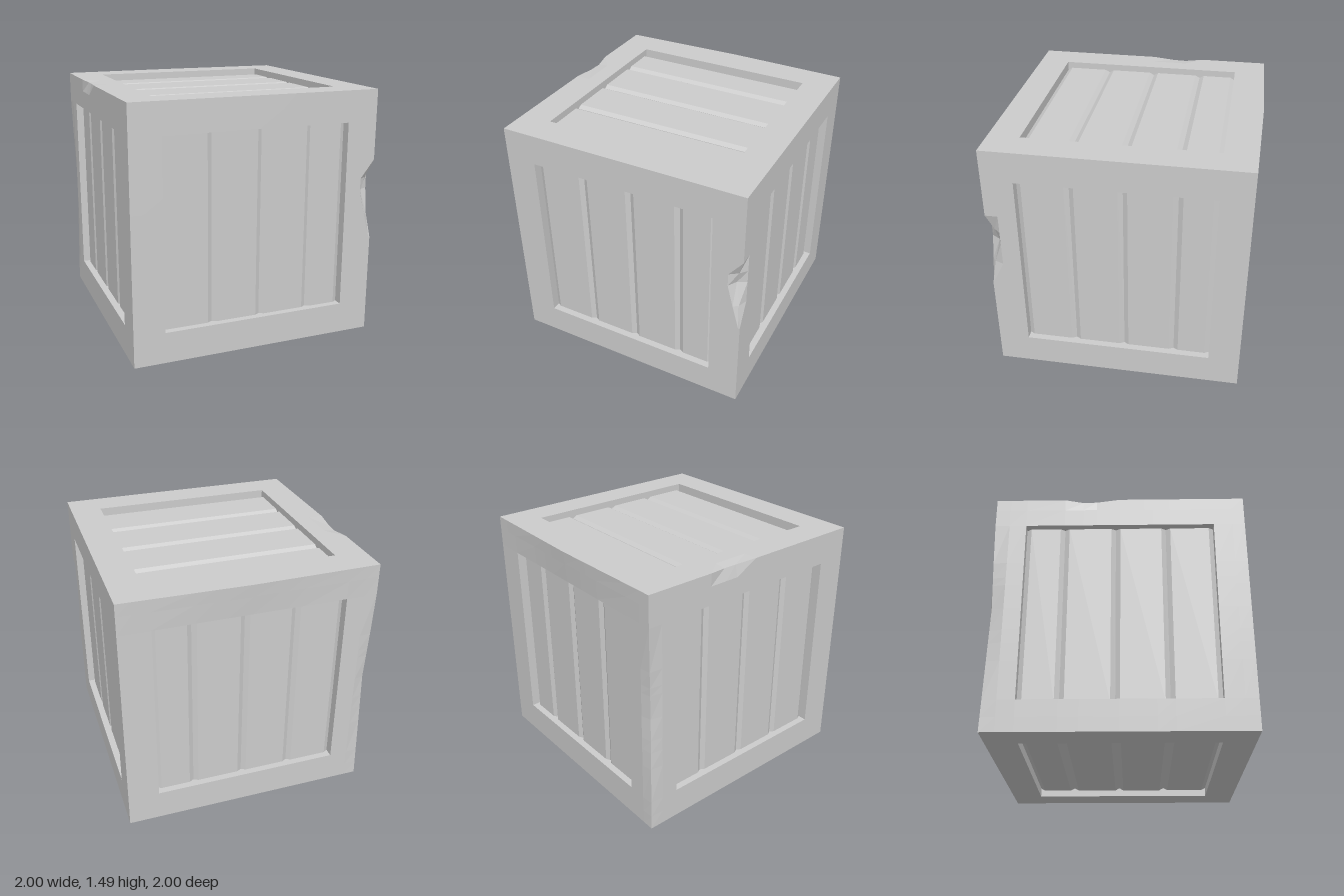
import * as THREE from 'three';

const H = 0.745;        // half size of the crate
const OPEN = 0.56;      // half size of the recessed opening in each face
const RECESS = 0.04;    // depth of the plank surface below the frame
const BEVEL = 0.027, GROOVE = 0.015;

const material = new THREE.MeshStandardMaterial({ color: 0xcccccc, flatShading: true });

// Grid lines used to divide the frame; the extra ones carry the dents
const LINES = [-H, -0.67, -OPEN, -0.3, -0.2, -0.15, 0, 0.14, 0.22, 0.33, OPEN, 0.66, H];
const SEAMS = [-0.275, 0.025, 0.33];

// Piecewise linear dent profile from [position, depth] pairs
function profile(t, pts) {
  for (let i = 0; i < pts.length - 1; i++) {
    const [a, da] = pts[i], [b, db] = pts[i + 1];
    if (t >= a && t <= b) return da + (db - da) * (t - a) / (b - a);
  }
  return 0;
}

// Wear along the outer edges of the frame
function wear(p) {
  const at = (value, target) => Math.abs(value - target) < 1e-4;
  const { x, y, z } = p;
  if (at(x, H) && at(z, H)) {               // deep chip on the front left edge
    const d = profile(y, [[-0.15, 0], [0, 0.022], [0.14, 0.052], [0.22, 0.035], [0.33, 0]]);
    p.x -= d;
    p.z -= d;
  }
  // outline of that chip, tapering to a point at both ends
  const taper = profile(y, [[-0.3, 0], [-0.15, 0.075], [0, 0.035], [0.14, 0], [0.22, 0], [0.33, 0.075], [OPEN, 0]]);
  if (at(x, H) && at(z, 0.66)) p.z += taper;
  if (at(z, H) && at(x, 0.66)) p.x += taper;
  if (at(x, -H) && at(z, -H)) {             // shallow dent on the back right edge
    const d = profile(y, [[-H, 0], [0, 0.016], [0.5, 0], [H, 0]]);
    p.x += d;
    p.z += d;
  }
  if (at(x, -H) && at(y, H)) {              // small nick on the top right edge
    const d = profile(z, [[-0.3, 0], [-0.2, 0.024], [-0.15, 0.018], [0, 0]]);
    p.x += d;
    p.y -= d * 0.4;
  }
  if (at(z, -H)) {                          // slight bow of the top back edge
    const bow = profile(x, [[-H, 0], [0, 0.014], [H, 0]]);
    p.z -= bow * Math.max(0, (y - OPEN) / (H - OPEN));
  }
  return p;
}

// Flat frame ring plus the walls of its opening, placed by the face matrix
function frameGeometry(matrix) {
  const positions = [];
  const quad = (...corners) => {
    const c = corners.map(([u, v, n]) => wear(new THREE.Vector3(u, v, n).applyMatrix4(matrix)));
    for (const i of [0, 1, 2, 0, 2, 3]) positions.push(c[i].x, c[i].y, c[i].z);
  };
  const inside = (a, b) => a >= -OPEN && b <= OPEN;
  for (let i = 0; i < LINES.length - 1; i++) {
    for (let j = 0; j < LINES.length - 1; j++) {
      const u0 = LINES[i], u1 = LINES[i + 1], v0 = LINES[j], v1 = LINES[j + 1];
      if (inside(u0, u1) && inside(v0, v1)) continue;
      quad([u0, v0, H], [u1, v0, H], [u1, v1, H], [u0, v1, H]);
    }
  }
  const low = H - RECESS - GROOVE - 0.01;
  const ring = [[-OPEN, -OPEN], [OPEN, -OPEN], [OPEN, OPEN], [-OPEN, OPEN]];
  ring.forEach((a, i) => {
    const b = ring[(i + 1) % 4];
    quad([...a, H], [...b, H], [...b, low], [...a, low]);
  });
  const geometry = new THREE.BufferGeometry();
  geometry.setAttribute('position', new THREE.Float32BufferAttribute(positions, 3));
  geometry.computeVertexNormals();
  return geometry;
}

// Board with both long edges bevelled, so neighbours meet in a V groove
function plankGeometry(a, b) {
  const top = H - RECESS, edge = top - GROOVE, base = top - 0.06;
  const shape = new THREE.Shape([
    [a, base], [b, base], [b, edge], [b - BEVEL, top], [a + BEVEL, top], [a, edge],
  ].map(([x, y]) => new THREE.Vector2(x, y)));
  const geometry = new THREE.ExtrudeGeometry(shape, { depth: 2 * OPEN, bevelEnabled: false });
  return geometry.rotateX(Math.PI / 2).translate(0, OPEN, 0);
}

export function createModel() {
  const model = new THREE.Group();
  model.name = 'crate';
  const body = new THREE.Group();
  body.name = 'crateBody';
  body.rotation.y = Math.atan2(1, 2);
  body.position.y = H;
  model.add(body);

  // Each face: name, outward normal, direction across the planks, seam offset
  const faces = [
    ['front', [0, 0, 1], [1, 0, 0], 0.012],
    ['back', [0, 0, -1], [1, 0, 0], 0],
    ['left', [1, 0, 0], [0, 0, -1], 0.012],
    ['right', [-1, 0, 0], [0, 0, -1], 0],
    ['top', [0, 1, 0], [0, 0, -1], 0],
    ['bottom', [0, -1, 0], [0, 0, -1], 0],
  ];
  for (const [name, normal, across, offset] of faces) {
    const n = new THREE.Vector3(...normal), u = new THREE.Vector3(...across);
    const v = new THREE.Vector3().crossVectors(n, u);
    const matrix = new THREE.Matrix4().makeBasis(u, v, n);

    const side = new THREE.Group();
    side.name = name + 'Side';
    const frame = new THREE.Mesh(frameGeometry(matrix), material);
    frame.name = name + 'Frame';
    side.add(frame);
    const edges = [-OPEN, ...SEAMS.map((s) => s + offset), OPEN];
    for (let i = 0; i < edges.length - 1; i++) {
      const geometry = plankGeometry(edges[i], edges[i + 1]).applyMatrix4(matrix);
      const plank = new THREE.Mesh(geometry, material);
      plank.name = name + 'Plank' + (i + 1);
      side.add(plank);
    }
    body.add(side);
  }
  return model;
}
